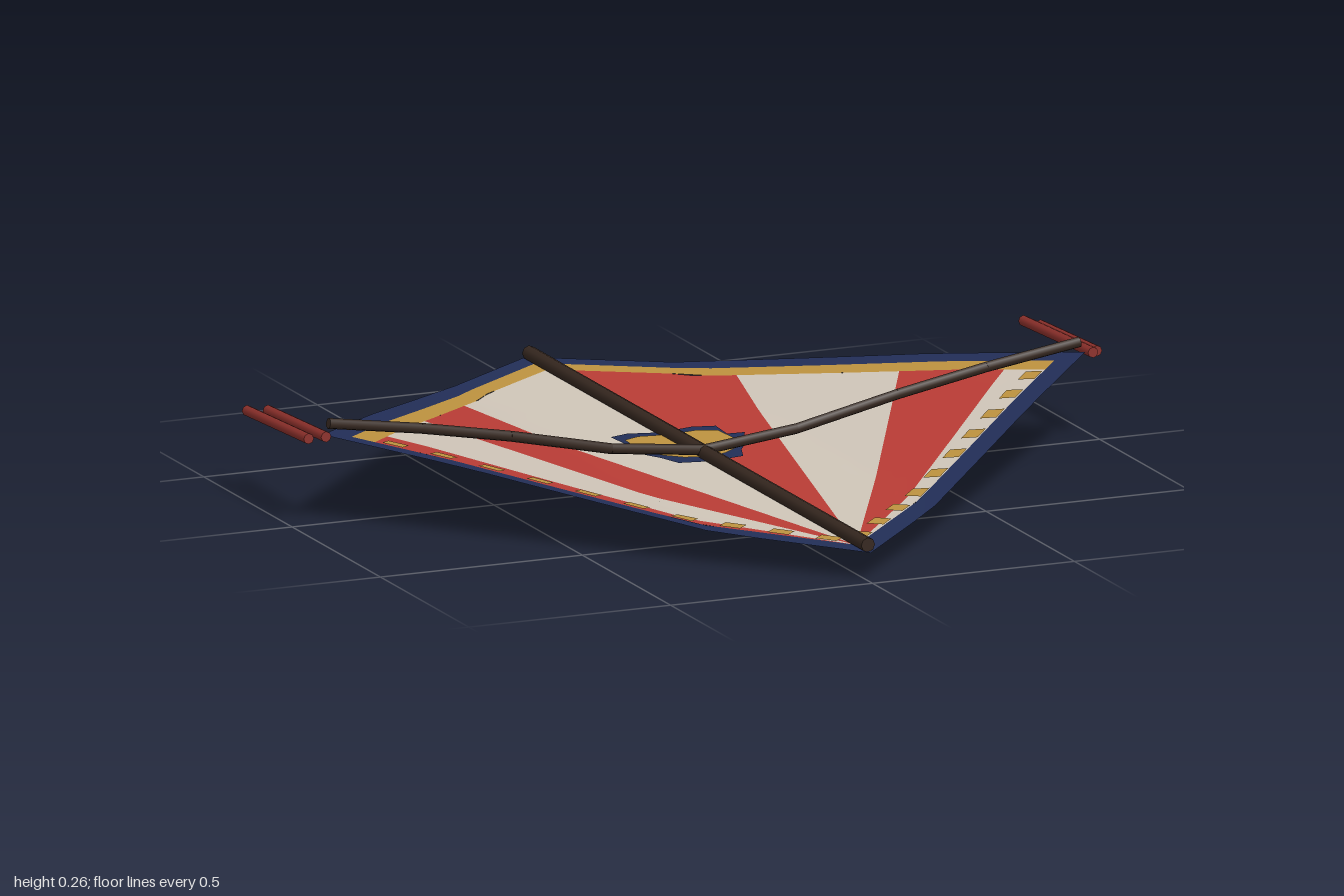
import * as THREE from 'three';

const mat = (name, color, side = THREE.FrontSide) => {
  const m = new THREE.MeshStandardMaterial({ color, side });
  m.name = name;
  return m;
};

export function createModel() {
  const group = new THREE.Group();
  group.name = 'kite';
  const D = THREE.DoubleSide;
  const cream = mat('cream cloth', 0xcfc5b8, D), red = mat('red cloth', 0xb93c35, D);
  const navy = mat('navy cloth', 0x222e57, D), gold = mat('gold cloth', 0xbd923f, D);
  const wood = mat('dark wood', 0x35271f), ribbon = mat('dark red ribbon', 0x8a2f2a);

  const add = (name, geo, material) => {
    const m = new THREE.Mesh(geo, material);
    m.name = name;
    group.add(m);
    return m;
  };

  // Height of the bowed sail, rising toward both wing tips
  const bow = [[0, 0.075], [0.27, 0.087], [0.5, 0.137], [0.7, 0.182], [0.95, 0.228]];
  const height = (x) => {
    const a = Math.min(Math.abs(x), 0.949);
    const i = bow.findIndex((p) => p[0] > a);
    const [x0, y0] = bow[i - 1], [x1, y1] = bow[i];
    return y0 + ((a - x0) / (x1 - x0)) * (y1 - y0);
  };

  // Cloth stretched between two polylines of [x, z], laid on the bowed surface
  const cloth = (name, A, B, rows, material, lift = 0) => {
    const pos = [], idx = [], n = A.length;
    for (let j = 0; j <= rows; j++) {
      for (let i = 0; i < n; i++) {
        const t = j / rows;
        const x = A[i][0] + (B[i][0] - A[i][0]) * t;
        const z = A[i][1] + (B[i][1] - A[i][1]) * t;
        pos.push(x, height(x) + lift, z);
        if (j < rows && i < n - 1) {
          const a = j * n + i;
          idx.push(a, a + n, a + 1, a + 1, a + n, a + n + 1);
        }
      }
    }
    const g = new THREE.BufferGeometry();
    g.setAttribute('position', new THREE.Float32BufferAttribute(pos, 3));
    g.setIndex(idx);
    g.computeVertexNormals();
    return add(name, g, material);
  };
  const mirror = (pts, s) => pts.map(([x, z]) => [x * s, z]);
  const densify = (pts, n) => {
    const out = [pts[0]];
    for (let k = 1; k < pts.length; k++) {
      for (let i = 1; i <= n; i++) {
        const t = i / n, [x0, z0] = pts[k - 1], [x1, z1] = pts[k];
        out.push([x0 + (x1 - x0) * t, z0 + (z1 - z0) * t]);
      }
    }
    return out;
  };

  // Navy hem and gold band
  const hemOuter = [[0, -0.965], [0.27, -0.745], [0.945, 0.045], [0, 0.99]];
  const hemInner = [[0, -0.905], [0.25, -0.7], [0.87, 0.04], [0, 0.91]];
  const bandInner = [[0, -0.84], [0.23, -0.655], [0.83, 0.08]];
  for (const s of [1, -1]) {
    cloth('hem', densify(mirror(hemOuter, s), 10), densify(mirror(hemInner, s), 10), 1, navy);
    cloth('goldBand', densify(mirror(hemInner.slice(0, 3), s), 10),
      densify(mirror(bandInner, s), 10), 1, gold);
  }

  // Rays fanning out from the tail corner to the gold band
  const apex = [0, 0.91];
  const rayEnd = (deg) => {
    const a = THREE.MathUtils.degToRad(Math.abs(deg));
    const dx = Math.sin(a), dz = -Math.cos(a);
    const k = dx / -dz < 0.23 / 1.565 ? 0 : 1;
    const [px, pz] = bandInner[k], [qx, qz] = bandInner[k + 1];
    const ex = qx - px, ez = qz - pz;
    const r = ((px - apex[0]) * ez - (pz - apex[1]) * ex) / (dx * ez - dz * ex);
    return [dx * r * Math.sign(deg), apex[1] + dz * r];
  };
  const angles = [-45, -40, -26, -14, 0, 13, 28, 40, 45];
  for (let k = 0; k < 8; k++) {
    const outer = [], inner = [];
    for (let i = 0; i <= 8; i++) {
      outer.push(rayEnd(angles[k] + ((angles[k + 1] - angles[k]) * i) / 8));
      inner.push(apex);
    }
    cloth('sailRay', inner, outer, 24, k % 2 ? cream : red);
  }

  // Gold squares along the front hem, on both faces of the sail
  const w = 0.036;
  for (const s of [1, -1]) {
    for (let i = 0; i < 10; i++) {
      const x = 0.035 + i * 0.083, z = 0.91 - x;
      for (const lift of [0.003, -0.003]) {
        cloth('hemSquare', mirror([[x, z], [x + w, z - w]], s),
          mirror([[x - w * 0.8, z - w * 0.8], [x + w * 0.2, z - w * 1.8]], s), 1, gold, lift);
      }
    }
  }

  // Central emblem, on both faces of the sail
  const badge = [[0, -0.2], [0.08, -0.207], [0.13, -0.185], [0.125, -0.11], [0.165, -0.1],
    [0.14, -0.05], [0.12, 0], [0.1, 0.03], [0.08, 0.085], [0, 0.088]];
  const disc = [[0, -0.165], [0.07, -0.165], [0.115, -0.14], [0.122, -0.03], [0.09, 0.02],
    [0.05, 0.05], [0, 0.055]];
  for (const s of [1, -1]) {
    for (const f of [1, -1]) {
      cloth('emblemRim', badge.map(() => [0, -0.06]), mirror(badge, s), 1, navy, 0.003 * f);
      cloth('emblemDisc', disc.map(() => [0, -0.06]), mirror(disc, s), 1, gold, 0.006 * f);
    }
  }

  // Straight rod between two points
  const rod = (name, a, b, r, material) => {
    const p = new THREE.Vector3(...a), q = new THREE.Vector3(...b);
    const d = q.clone().sub(p);
    const m = add(name, new THREE.CylinderGeometry(r, r, d.length(), 8), material);
    m.position.copy(p).add(q).multiplyScalar(0.5);
    m.quaternion.setFromUnitVectors(new THREE.Vector3(0, 1, 0), d.normalize());
  };

  // Spine and bent cross spar
  rod('spine', [0, 0.09, -0.945], [0, 0.09, 0.975], 0.017, wood);
  const spar = [[0, 0.095], [0.23, 0.121], [0.48, 0.176], [0.7, 0.217], [0.93, 0.252]];
  for (const s of [1, -1]) {
    for (let i = 0; i < 4; i++) {
      rod('crossSpar', [s * spar[i][0], spar[i][1], 0.045],
        [s * spar[i + 1][0], spar[i + 1][1], 0.045], 0.0125, wood);
    }
  }

  // Ribbons trailing from the wing tips and nose
  const tails = [[-0.985, 0.06, -0.29], [-0.942, 0.06, -0.27], [0.962, 0.05, -0.345], [0.976, 0.04, -0.28]];
  for (const [x, z0, z1] of tails) {
    rod('tipRibbon', [x, 0.225, z0], [x, 0.225 + (z1 - z0) * 0.045, z1], 0.0125, ribbon);
  }
  for (const x of [-0.005, 0.007]) {
    rod('noseRibbon', [x, 0.056, -0.925], [x, 0.022, -0.99], 0.018, ribbon);
  }
  return group;
}
